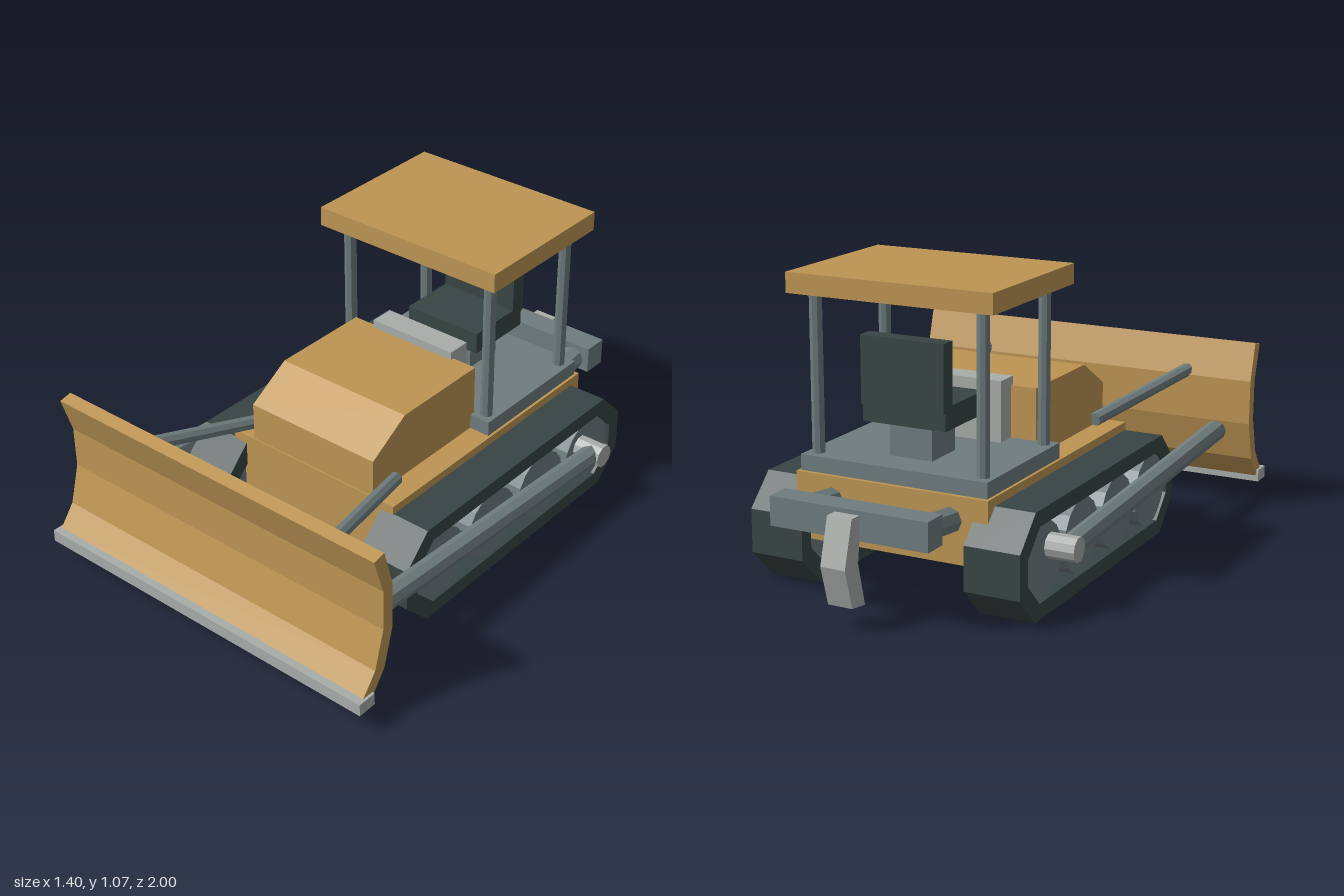
import * as THREE from 'three';

const material = (name, color) => {
  const m = new THREE.MeshStandardMaterial({ color, flatShading: true });
  m.name = name;
  return m;
};

export function createModel() {
  const yellow = material('ochre paint', 0xbd9553);
  const dark = material('dark rubber', 0x384544);
  const steel = material('grey steel', 0x6f7c7e);
  const bright = material('bright steel', 0xa8adaa);

  const model = new THREE.Group();
  model.name = 'bulldozer';

  const add = (name, geometry, mat, parent = model) => {
    const mesh = new THREE.Mesh(geometry, mat);
    mesh.name = name;
    parent.add(mesh);
    return mesh;
  };

  // Box given by its limits on each axis
  const box = (name, mat, [x0, x1], [y0, y1], [z0, z1], parent) => {
    const mesh = add(name, new THREE.BoxGeometry(x1 - x0, y1 - y0, z1 - z0), mat, parent);
    mesh.position.set((x0 + x1) / 2, (y0 + y1) / 2, (z0 + z1) / 2);
    return mesh;
  };

  // Round bar between two points
  const bar = (name, mat, from, to, radius, sides = 8, parent = model) => {
    const a = new THREE.Vector3(...from), b = new THREE.Vector3(...to);
    const dir = b.clone().sub(a);
    const mesh = add(name, new THREE.CylinderGeometry(radius, radius, dir.length(), sides), mat, parent);
    mesh.position.copy(a).add(b).multiplyScalar(0.5);
    mesh.quaternion.setFromUnitVectors(new THREE.Vector3(0, 1, 0), dir.normalize());
    return mesh;
  };

  // Side profile of (z, y) points, extruded across x and centred on x = 0
  const points = (list) => list.map(([z, y]) => new THREE.Vector2(z, y));
  const profile = (list, width, hole) => {
    const shape = new THREE.Shape(points(list));
    if (hole) shape.holes.push(new THREE.Path(points(hole)));
    const g = new THREE.ExtrudeGeometry(shape, { depth: width, bevelEnabled: false });
    return g.translate(0, 0, -width / 2).rotateY(-Math.PI / 2);
  };

  // Rectangle with cut corners
  const octagon = (z0, z1, y0, y1, c) => [
    [z0 + c, y0], [z1 - c, y0], [z1, y0 + c], [z1, y1 - c],
    [z1 - c, y1], [z0 + c, y1], [z0, y1 - c], [z0, y0 + c],
  ];

  // Hull and hood
  box('hull', yellow, [-0.36, 0.36], [0.17, 0.4], [-0.65, 0.425]);
  add('hood', profile([[-0.13, 0.39], [0.42, 0.39], [0.42, 0.54], [0.255, 0.64], [-0.13, 0.64]], 0.54), yellow);

  // Operator station
  box('deck', steel, [-0.35, 0.35], [0.385, 0.455], [-0.635, -0.11]);
  box('dashboard', bright, [-0.175, 0.175], [0.45, 0.67], [-0.205, -0.115]);
  box('seatPedestal', steel, [-0.08, 0.08], [0.45, 0.58], [-0.51, -0.355]);
  box('seatCushion', dark, [-0.155, 0.155], [0.575, 0.655], [-0.555, -0.29]);
  box('seatBack', dark, [-0.155, 0.155], [0.635, 0.868], [-0.565, -0.505]);
  box('canopy', yellow, [-0.38, 0.38], [1.0, 1.07], [-0.655, -0.075]);

  for (const side of [1, -1]) {
    const label = side > 0 ? 'left' : 'right';

    // Track belt, rollers and roller beam
    const track = new THREE.Group();
    track.name = label + 'Track';
    track.position.x = side * 0.405;
    model.add(track);
    add('belt', profile(octagon(-0.71, 0.53, 0, 0.37, 0.108), 0.2,
      octagon(-0.655, 0.475, 0.055, 0.315, 0.085)), dark, track);
    for (let i = 0; i < 4; i++) {
      const z = 0.34 - i * 0.287;
      bar('roller', steel, [-0.09, 0.185, z], [0.09, 0.185, z], 0.132, 16, track);
    }
    box('rollerBeam', steel, [-0.06, 0.06], [0.157, 0.215], [-0.52, 0.34], track);

    // Canopy posts
    for (const z of [-0.15, -0.587]) {
      bar(label + 'CanopyPost', steel, [side * 0.31, 0.45, z], [side * 0.31, 1.005, z], 0.022);
    }

    // Blade push arm with pivot pin, and lift ram
    bar(label + 'PushArm', steel, [side * 0.557, 0.224, -0.46], [side * 0.557, 0.296, 0.845], 0.039);
    bar(label + 'PivotPin', bright, [side * 0.48, 0.225, -0.478], [side * 0.6, 0.225, -0.478], 0.043, 10);
    bar(label + 'LiftRam', steel, [side * 0.285, 0.425, 0.32], [side * 0.432, 0.517, 0.845], 0.025);

    // Ripper arm
    bar(label + 'RipperArm', steel, [side * 0.222, 0.312, -0.6], [side * 0.222, 0.338, -0.84], 0.044);
  }

  // Curved blade and cutting edge
  add('blade', profile([
    [0.915, 0.63], [0.868, 0.64], [0.828, 0.5], [0.828, 0.335], [0.868, 0.19], [0.93, 0.105],
    [0.975, 0.125], [0.913, 0.205], [0.873, 0.345], [0.873, 0.495],
  ], 1.38), yellow);
  box('cuttingEdge', bright, [-0.7, 0.7], [0.085, 0.13], [0.928, 1.0]);

  // Ripper beam and shank
  box('ripperBeam', steel, [-0.29, 0.29], [0.295, 0.395], [-0.91, -0.818]);
  add('ripperShank', profile([
    [-0.9, 0.38], [-0.955, 0.38], [-1.0, 0.225], [-0.96, 0.087], [-0.885, 0.077], [-0.922, 0.225],
  ], 0.09), bright);

  return model;
}
